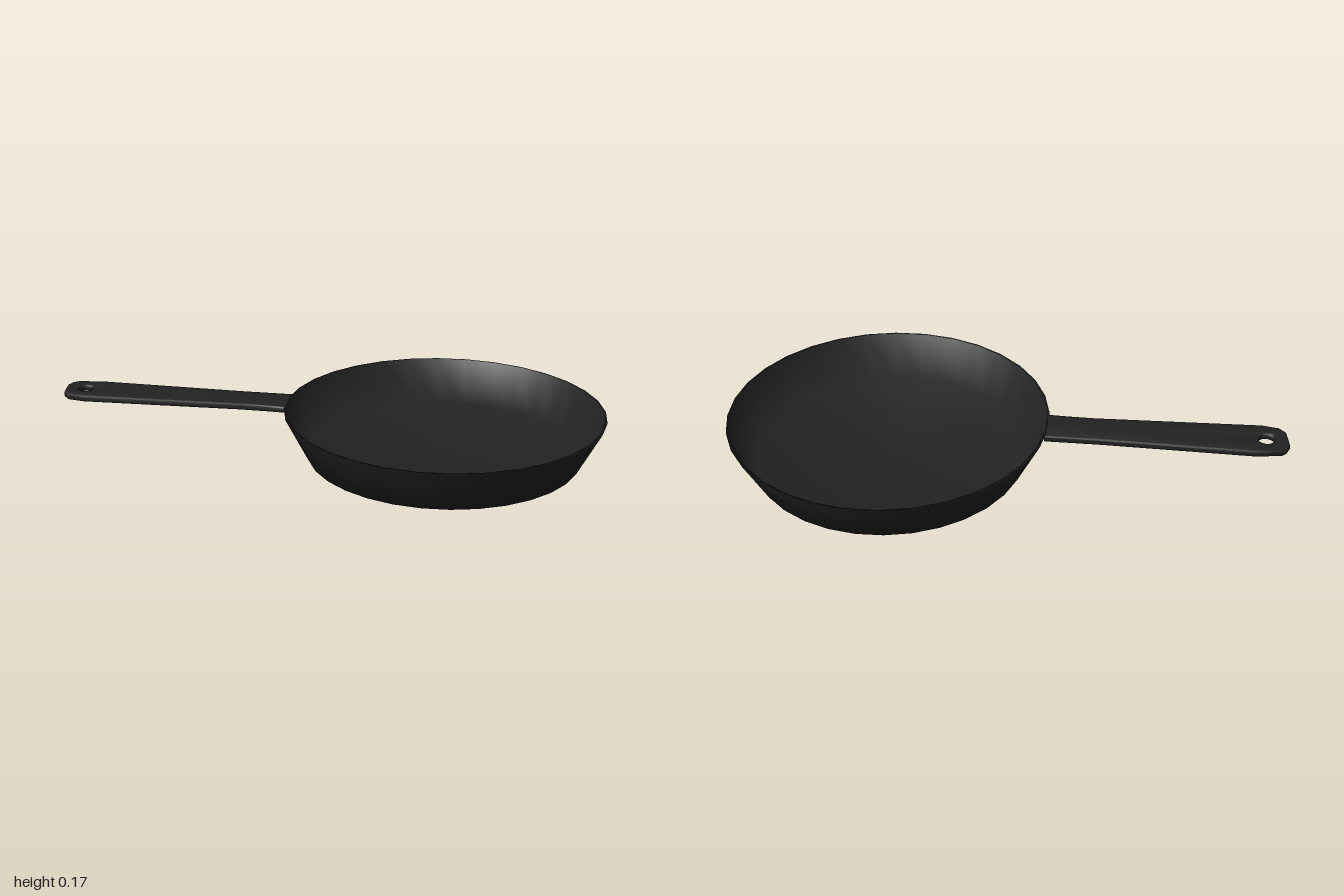
import * as THREE from 'three';
import { toCreasedNormals } from 'three/addons/utils/BufferGeometryUtils.js';

const iron = new THREE.MeshStandardMaterial({ color: 0x222222 });

// Open, thin-walled body: outside up to a narrow rim, then down inside to the cooking floor
function makePan() {
  const profile = [[0, 0], [0.498, 0], [0.583, 0.165], [0.573, 0.165], [0.492, 0.01], [0, 0.01]]
    .map(([r, y]) => new THREE.Vector2(r, y));
  const pan = new THREE.Mesh(new THREE.LatheGeometry(profile, 32), iron);
  pan.name = 'pan';
  pan.position.x = 0.417;
  return pan;
}

// Flat handle, widening towards a rounded tip with a hanging hole
function makeHandle() {
  const outline = [
    [-0.14, -0.155], [-0.33, -0.18], [-0.87, -0.265], [-0.965, -0.265], [-0.985, -0.252], [-1, -0.225],
    [-1, -0.15], [-0.98, -0.12], [-0.92, -0.1], [-0.33, -0.04], [-0.23, -0.025], [-0.157, -0.012],
    [-0.15, -0.09],
  ].map(([x, z]) => new THREE.Vector2(x, -z));
  const shape = new THREE.Shape(outline);
  shape.holes.push(new THREE.Path().absarc(-0.923, 0.187, 0.029, 0, Math.PI * 2, true));

  const bevel = 0.006;
  const geometry = new THREE.ExtrudeGeometry(shape, {
    depth: 0.012, bevelEnabled: true, bevelThickness: bevel, bevelSize: bevel,
    bevelOffset: -bevel, bevelSegments: 2, curveSegments: 8,
  });
  geometry.rotateX(-Math.PI / 2).translate(0, 0.144 + bevel, 0);

  // Slight rise from the pan to the tip
  const position = geometry.attributes.position;
  for (let i = 0; i < position.count; i++) {
    position.setY(i, position.getY(i) - 0.005 * (position.getX(i) + 0.55));
  }

  const handle = new THREE.Mesh(toCreasedNormals(geometry, 0.9), iron);
  handle.name = 'handle';
  return handle;
}

export function createModel() {
  const model = new THREE.Group();
  model.name = 'fryingPan';
  model.add(makePan(), makeHandle());
  return model;
}
